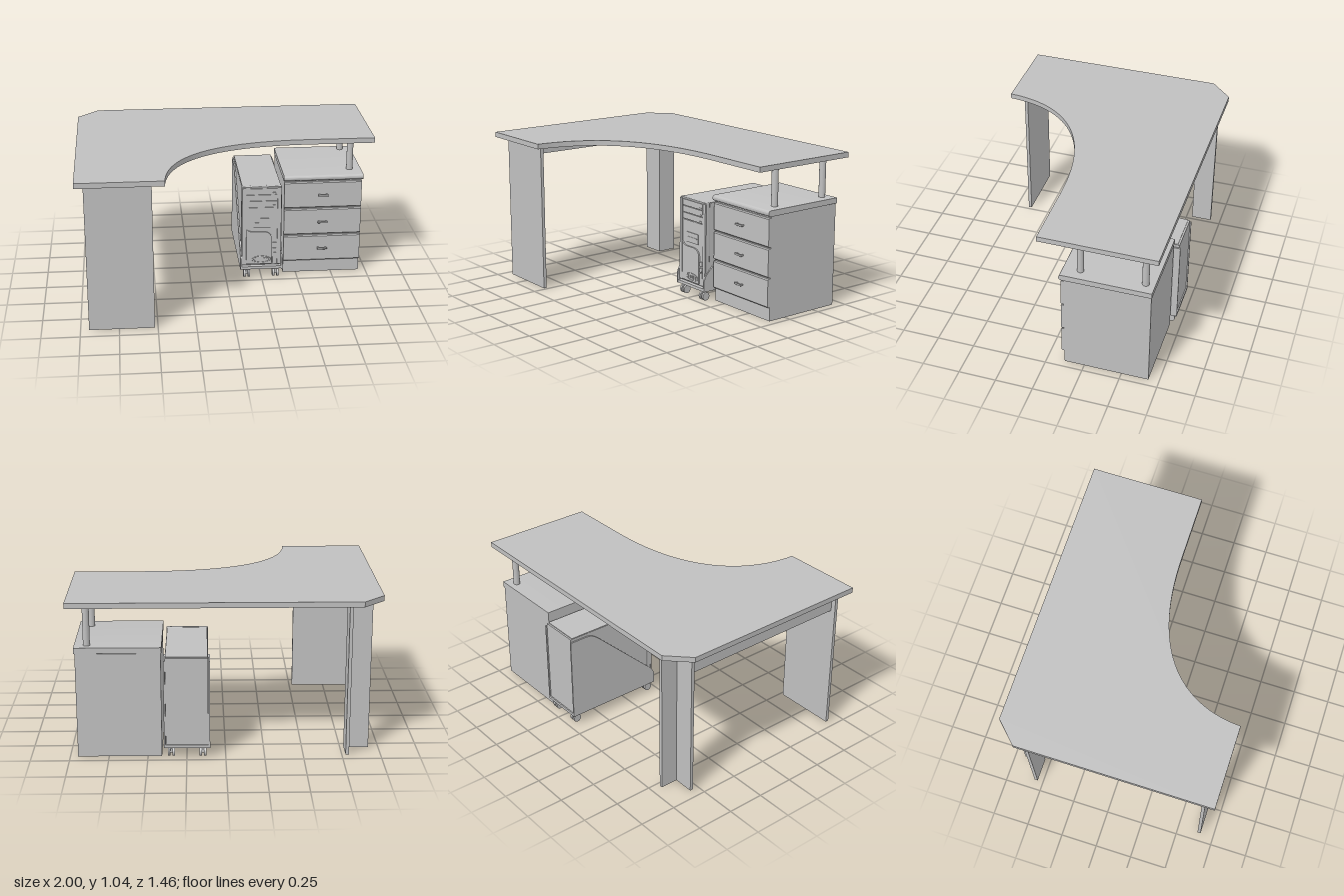
import * as THREE from 'three';
import { toCreasedNormals } from 'three/addons/utils/BufferGeometryUtils.js';
import { RoundedBoxGeometry } from 'three/addons/geometries/RoundedBoxGeometry.js';

const grey = new THREE.MeshStandardMaterial({ color: 0xc0c0c0 });
grey.name = 'office grey';

function add(parent, name, geometry) {
  const mesh = new THREE.Mesh(geometry, grey);
  mesh.name = name;
  parent.add(mesh);
  return mesh;
}

// Box given by its limits on each axis
function box(parent, name, x0, x1, y0, y1, z0, z1) {
  const mesh = add(parent, name, new THREE.BoxGeometry(x1 - x0, y1 - y0, z1 - z0));
  mesh.position.set((x0 + x1) / 2, (y0 + y1) / 2, (z0 + z1) / 2);
  return mesh;
}

function extrude(shape, depth) {
  const g = new THREE.ExtrudeGeometry(shape, { depth, bevelEnabled: false, curveSegments: 28 });
  return toCreasedNormals(g, 0.5);
}

// Side profile drawn as (z, y), spanning x0 to x1
function profile(parent, name, shape, x0, x1) {
  const g = extrude(shape, x1 - x0).rotateY(-Math.PI / 2).translate(x1, 0, 0);
  return add(parent, name, g);
}

function cylinder(parent, name, r, length, x, y, z, alongX = false) {
  const g = new THREE.CylinderGeometry(r, r, length, 24);
  if (alongX) g.rotateZ(Math.PI / 2);
  add(parent, name, g).position.set(x, y, z);
}

function group(parent, name) {
  const g = new THREE.Group();
  g.name = name;
  parent.add(g);
  return g;
}

function buildDesk(root) {
  const desk = group(root, 'desk');
  // Top with a cut corner and a sweeping inner edge, drawn as (x, -z)
  const s = new THREE.Shape();
  s.moveTo(-1, -0.73);
  s.lineTo(-0.44, -0.73);
  s.bezierCurveTo(-0.42, -0.3, -0.1, -0.03, 0.56, -0.033);
  s.lineTo(1, -0.033);
  s.lineTo(1, 0.73);
  s.lineTo(-0.86, 0.73);
  s.lineTo(-1, 0.59);
  s.closePath();
  add(desk, 'tabletop', extrude(s, 0.035).rotateX(-Math.PI / 2).translate(0, 1.005, 0));

  box(desk, 'frontLeg', -0.945, -0.52, 0, 1.005, 0.638, 0.66);
  box(desk, 'apron', -0.912, -0.89, 0.865, 1.005, -0.54, 0.638);
  // L-shaped corner leg
  box(desk, 'cornerLegAcross', -0.935, -0.775, 0, 1.005, -0.562, -0.54);
  box(desk, 'cornerLegBack', -0.797, -0.775, 0, 1.005, -0.68, -0.562);
  for (const z of [-0.206, -0.623]) cylinder(desk, 'post', 0.022, 0.275, 0.877, 0.868, z);
}

function buildCabinet(root) {
  const cabinet = group(root, 'cabinet');
  box(cabinet, 'cabinetBody', 0.41, 0.95, 0, 0.695, -0.68, -0.117);
  // Top board with a rounded front edge
  const s = new THREE.Shape();
  s.moveTo(-0.684, 0.698);
  s.lineTo(-0.108, 0.695);
  s.absarc(-0.106, 0.715, 0.02, -Math.PI / 2, Math.PI / 2, false);
  s.lineTo(-0.684, 0.735);
  s.closePath();
  profile(cabinet, 'cabinetTop', s, 0.405, 0.957);

  for (let i = 0; i < 3; i++) {
    const y = 0.09 + 0.2 * i;
    // Drawer front with softened upper and lower edges
    const d = new THREE.Shape();
    d.moveTo(-0.118, y + 0.003);
    d.lineTo(-0.104, y + 0.003);
    d.lineTo(-0.097, y + 0.01);
    d.lineTo(-0.097, y + 0.187);
    d.lineTo(-0.104, y + 0.194);
    d.lineTo(-0.118, y + 0.194);
    d.closePath();
    profile(cabinet, 'drawerFront', d, 0.41, 0.95);
    const h = add(cabinet, 'drawerHandle', new RoundedBoxGeometry(0.07, 0.014, 0.01, 2, 0.004));
    h.position.set(0.68, y + 0.1, -0.078);
    for (const x of [0.654, 0.706]) box(cabinet, 'handleStem', x - 0.005, x + 0.005, y + 0.095, y + 0.105, -0.097, -0.078);
  }
}

function buildStand(root) {
  const stand = group(root, 'computerStand');
  box(stand, 'standFloor', 0.11, 0.385, 0.07, 0.09, -0.72, -0.03);
  // Side panels sloping down to the front
  const s = new THREE.Shape();
  s.moveTo(-0.72, 0.07);
  s.lineTo(-0.027, 0.07);
  s.lineTo(-0.027, 0.125);
  s.bezierCurveTo(-0.027, 0.17, -0.06, 0.2, -0.1, 0.235);
  s.lineTo(-0.48, 0.595);
  s.bezierCurveTo(-0.53, 0.64, -0.55, 0.655, -0.6, 0.655);
  s.lineTo(-0.72, 0.655);
  s.closePath();
  for (const x of [0.1, 0.385]) profile(stand, 'standSide', s, x, x + 0.01);

  // Twin-wheel casters
  for (const x of [0.147, 0.35]) for (const z of [-0.065, -0.675]) {
    const caster = group(stand, 'caster');
    for (const side of [-1, 1]) cylinder(caster, 'casterWheel', 0.028, 0.015, x + side * 0.015, 0.028, z, true);
    cylinder(caster, 'casterAxle', 0.008, 0.03, x, 0.028, z, true);
    box(caster, 'casterFork', x - 0.007, x + 0.007, 0.025, 0.055, z - 0.014, z + 0.014);
    cylinder(caster, 'casterStem', 0.01, 0.025, x, 0.06, z);
  }
}

function buildComputer(root) {
  const pc = group(root, 'computer');
  box(pc, 'computerCase', 0.112, 0.384, 0.09, 0.673, -0.712, -0.075);
  // Front bezel: two rails, a head strip and recessed bays
  const bezel = add(pc, 'bezel', new RoundedBoxGeometry(0.28, 0.588, 0.03, 2, 0.008));
  bezel.position.set(0.248, 0.386, -0.066);
  box(pc, 'leftRail', 0.112, 0.137, 0.1, 0.672, -0.056, -0.042);
  box(pc, 'rightRail', 0.358, 0.384, 0.1, 0.672, -0.056, -0.042);
  for (let i = 0; i < 3; i++) {
    const y = 0.533 + i * 0.046;
    box(pc, 'driveBay', 0.142, 0.353, y, y + 0.042, -0.056, -0.044);
    box(pc, 'bayButton', 0.325, 0.343, y + 0.008, y + 0.014, -0.044, -0.04);
  }
  box(pc, 'middlePanel', 0.142, 0.353, 0.378, 0.527, -0.056, -0.046);
  box(pc, 'smallDrive', 0.19, 0.31, 0.378, 0.448, -0.046, -0.041);
  box(pc, 'smallDriveSlot', 0.2, 0.3, 0.412, 0.418, -0.041, -0.038);

  // Lower panel with a swept upper edge
  const s = new THREE.Shape();
  s.moveTo(0.142, 0.105);
  s.lineTo(0.32, 0.105);
  s.lineTo(0.32, 0.28);
  s.bezierCurveTo(0.325, 0.4, 0.17, 0.31, 0.142, 0.372);
  s.closePath();
  add(pc, 'lowerPanel', extrude(s, 0.015).translate(0, 0, -0.056));
  for (const y of [0.25, 0.208]) box(pc, 'powerButton', 0.326, 0.352, y - 0.014, y + 0.014, -0.056, -0.042);
  box(pc, 'portStrip', 0.326, 0.352, 0.105, 0.185, -0.056, -0.046);

  // Raised vent ring and slots
  const vent = add(pc, 'ventRing', new THREE.TorusGeometry(0.026, 0.003, 6, 24));
  vent.scale.set(2.3, 0.9, 1);
  vent.position.set(0.248, 0.14, -0.041);
  for (let i = 0; i < 5; i++) {
    const x = 0.21 + i * 0.018;
    box(pc, 'ventSlot', x, x + 0.008, 0.13, 0.15, -0.041, -0.037);
  }
  // Slightly raised lid
  box(pc, 'caseLid', 0.114, 0.382, 0.673, 0.678, -0.7, -0.05);
}

export function createModel() {
  const root = new THREE.Group();
  root.name = 'cornerDesk';
  buildDesk(root);
  buildCabinet(root);
  buildStand(root);
  buildComputer(root);
  return root;
}
